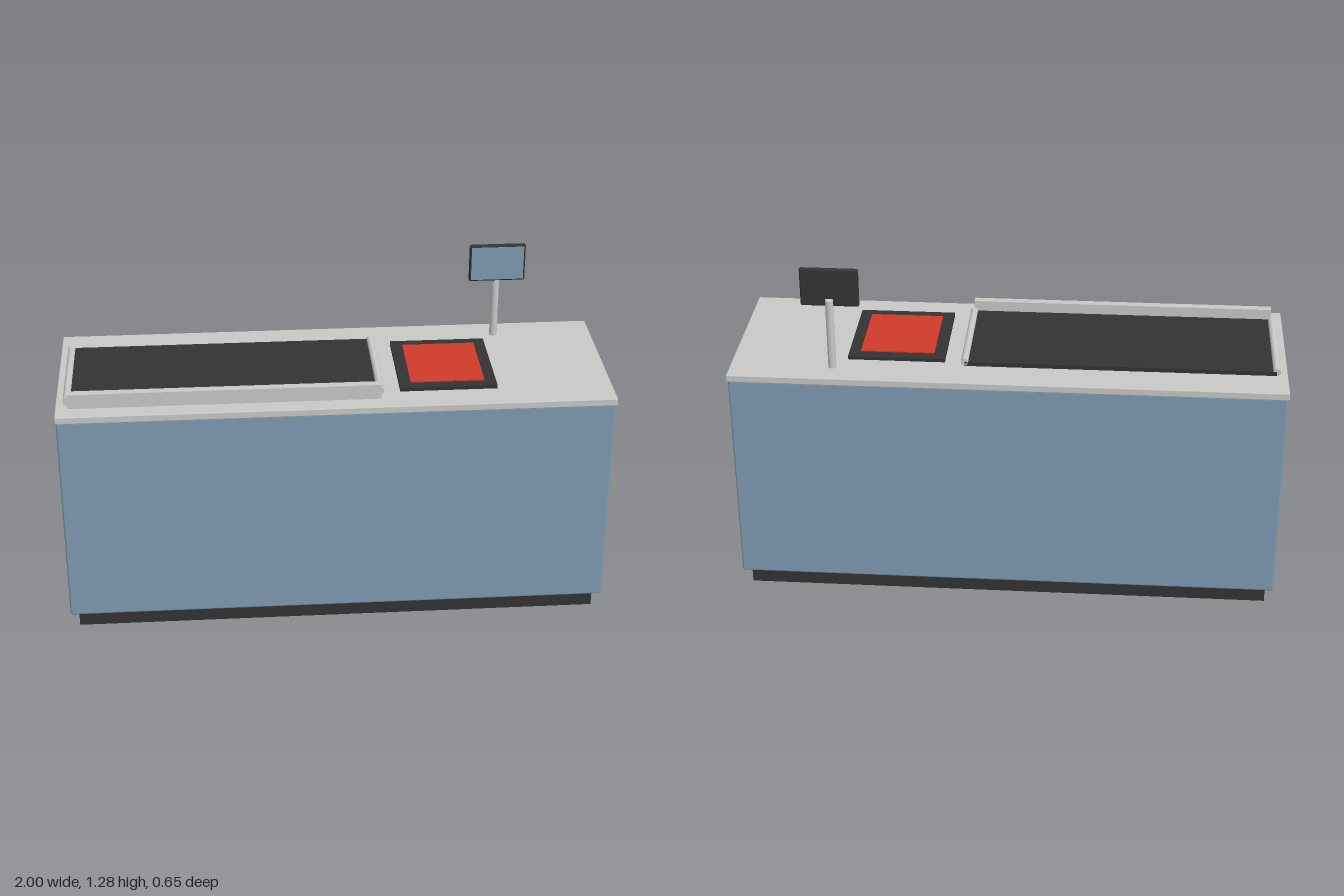
import * as THREE from 'three';
import { RoundedBoxGeometry } from 'three/addons/geometries/RoundedBoxGeometry.js';

const material = (name, color) => {
  const m = new THREE.MeshStandardMaterial({ color });
  m.name = name;
  return m;
};

export function createModel() {
  const group = new THREE.Group();
  group.name = 'checkoutCounter';

  const blue = material('panelBlue', 0x7d9bb0);
  const grey = material('metalGrey', 0xc8c8c6);
  const dark = material('darkRubber', 0x333333);
  const red = material('scannerRed', 0xd03a2b);

  const add = (name, geometry, mat, x = 0, y = 0, z = 0) => {
    const mesh = new THREE.Mesh(geometry, mat);
    mesh.name = name;
    mesh.position.set(x, y, z);
    group.add(mesh);
    return mesh;
  };

  // Box given by its minimum and maximum corners, optionally with rounded edges
  const box = (name, mat, [x0, y0, z0], [x1, y1, z1], radius = 0) => {
    const size = [x1 - x0, y1 - y0, z1 - z0];
    const geometry = radius
      ? new RoundedBoxGeometry(...size, 3, radius)
      : new THREE.BoxGeometry(...size);
    return add(name, geometry, mat, (x0 + x1) / 2, (y0 + y1) / 2, (z0 + z1) / 2);
  };

  // Cabinet
  box('plinth', dark, [-0.967, 0, -0.284], [0.967, 0.07, 0.284]);
  box('cabinet', blue, [-0.997, 0.065, -0.314], [0.997, 0.878, 0.314], 0.008);
  box('countertop', grey, [-1, 0.877, -0.324], [1, 0.905, 0.324], 0.004);

  // Conveyor belt with a roller at each end and a guide rail in front
  box('conveyorBelt', dark, [-0.96, 0.9, -0.192], [0.157, 0.921, 0.232]);
  for (const [name, x] of [['rightRoller', -0.96], ['leftRoller', 0.157]]) {
    const roller = new THREE.CylinderGeometry(0.0135, 0.0135, 0.424, 20);
    add(name, roller.rotateX(Math.PI / 2), grey, x, 0.919, 0.02);
  }
  box('guideRail', grey, [-0.957, 0.9, 0.231], [0.157, 0.96, 0.261]);

  // Scanner plate and its glass
  box('scannerFrame', dark, [0.23, 0.9, -0.17], [0.582, 0.918, 0.212]);
  box('scannerGlass', red, [0.272, 0.917, -0.129], [0.54, 0.922, 0.171]);

  // Customer display on a pole
  add('displayPole', new THREE.CylinderGeometry(0.0145, 0.0145, 0.27, 20), grey, 0.63, 1.035, -0.232);
  box('displayCase', dark, [0.526, 1.14, -0.221], [0.735, 1.283, -0.201], 0.007);
  box('displayScreen', blue, [0.533, 1.147, -0.204], [0.728, 1.276, -0.199]);

  return group;
}
